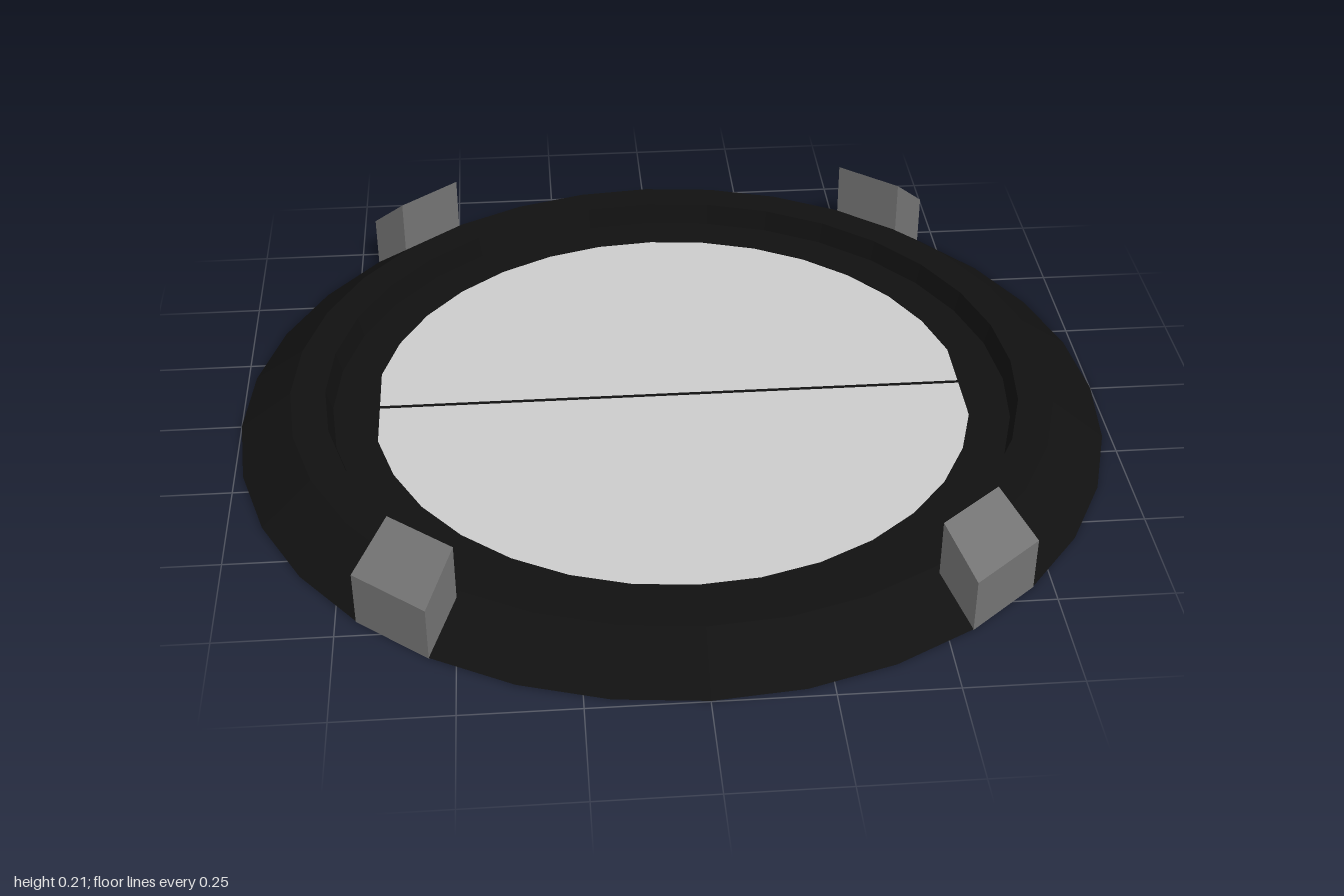
import * as THREE from 'three';

const SIDES = 32;
const STEP = (Math.PI * 2) / SIDES;

const material = (color) => new THREE.MeshStandardMaterial({ color, flatShading: true });

// Points of a polygon arc at the given step indices
function arcPoints(radius, from, to) {
  const points = [];
  for (let i = from; i <= to; i++) {
    points.push(new THREE.Vector2(Math.cos(i * STEP) * radius, Math.sin(i * STEP) * radius));
  }
  return points;
}

// Horizontal slab cut from a flat outline
function slab(shape, bottom, top) {
  const geometry = new THREE.ExtrudeGeometry(shape, { depth: top - bottom, bevelEnabled: false });
  return geometry.rotateX(-Math.PI / 2).translate(0, bottom, 0);
}

// Clamp: a radial profile one ring facet wide, narrowing towards the centre
function clampGeometry() {
  const profile = [[0.783, 0], [1, 0], [1, 0.125], [0.892, 0.212], [0.892, 0.06], [0.783, 0.034]];
  const shape = new THREE.Shape(profile.map(([r, y]) => new THREE.Vector2(r, y)));
  const geometry = new THREE.ExtrudeGeometry(shape, { depth: 1, bevelEnabled: false });
  geometry.translate(0, 0, -0.5);
  const position = geometry.attributes.position;
  for (let i = 0; i < position.count; i++) {
    const r = position.getX(i);
    position.setX(i, r * Math.cos(STEP / 2));
    position.setZ(i, position.getZ(i) * 2 * r * Math.sin(STEP / 2));
  }
  geometry.computeVertexNormals();
  return geometry;
}

export function createModel() {
  const model = new THREE.Group();
  model.name = 'roundHatch';
  const black = material(0x111111);
  const grey = material(0xcccccc);
  const darkGrey = material(0x737373);

  const add = (name, geometry, mat, parent = model) => {
    const mesh = new THREE.Mesh(geometry, mat);
    mesh.name = name;
    parent.add(mesh);
    return mesh;
  };

  // Outer frame with a sloping rim
  const rim = [[0.785, 0.002], [1, 0.002], [0.88, 0.09], [0.8, 0.09], [0.785, 0.036], [0.785, 0.002]];
  add('frame', new THREE.LatheGeometry(rim.map(([r, y]) => new THREE.Vector2(r, y)), SIDES), black);

  // Recessed ledge around the doors
  const half = SIDES / 2;
  const ledge = new THREE.Shape(arcPoints(0.79, 0, SIDES - 1));
  const opening = [...arcPoints(0.692, 1, half - 1), ...arcPoints(0.692, half + 1, SIDES - 1)];
  ledge.holes.push(new THREE.Path(opening));
  add('ledge', slab(ledge, 0.03, 0.04), black);

  // Two half-round doors and the seam between them
  const gap = 0.005;
  const edgeX = 0.692 * Math.cos(STEP);
  const doorShape = new THREE.Shape([
    new THREE.Vector2(edgeX, gap),
    ...arcPoints(0.692, 1, half - 1),
    new THREE.Vector2(-edgeX, gap),
  ]);
  const doorGeometry = slab(doorShape, 0.032, 0.038);
  add('backDoor', doorGeometry, grey);
  add('frontDoor', doorGeometry, grey).rotation.y = Math.PI;
  add('doorSeam', new THREE.BoxGeometry(edgeX * 2, 0.006, gap * 2).translate(0, 0.035, 0), black);

  // Four wedge clamps on the rim
  const clamps = new THREE.Group();
  clamps.name = 'clamps';
  model.add(clamps);
  const clamp = clampGeometry();
  const angle = STEP * 4.5;
  for (const a of [angle, Math.PI - angle, Math.PI + angle, -angle]) {
    add('clamp', clamp, darkGrey, clamps).rotation.y = a;
  }

  return model;
}
